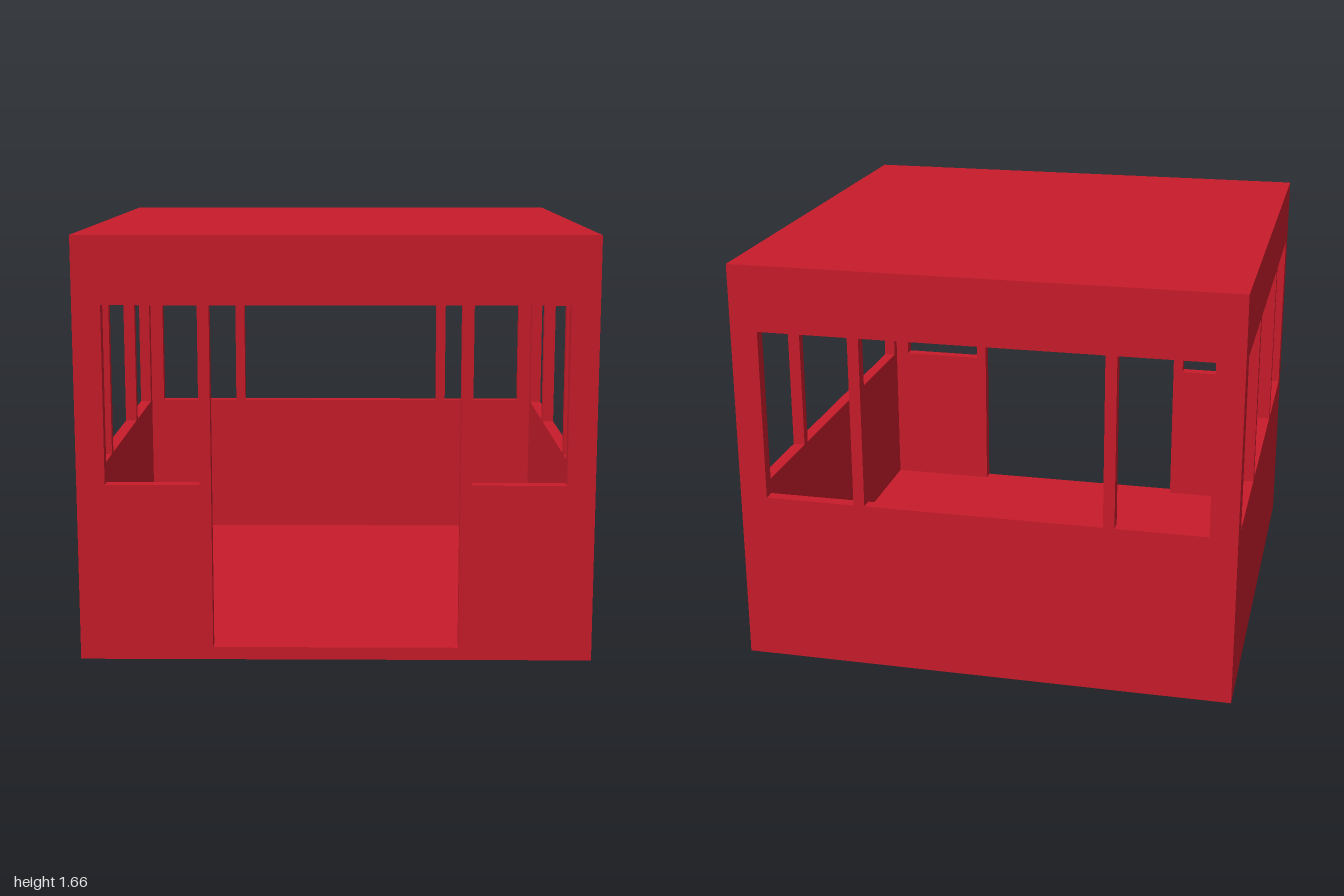
import * as THREE from 'three';

const SIZE = 2, HEIGHT = 1.66, T = 0.05;      // overall size and panel thickness
const SILL = 0.7, HEAD = 1.395;               // window bottom and top
const BASE = T, TOP = HEIGHT - T;             // walls stand between floor and roof slabs

const material = new THREE.MeshStandardMaterial({ color: 0xc81c2a, flatShading: true });

function addMesh(group, name, geometry) {
  const mesh = new THREE.Mesh(geometry, material);
  mesh.name = name;
  group.add(mesh);
  return mesh;
}

// Wall panel in the xy plane, centred on its thickness; door is an optional [from, to] gap
function wallGeometry(halfWidth, windows, door) {
  const outline = [[-halfWidth, BASE]];
  if (door) {
    const [a, b] = door;
    outline.push([a, BASE], [a, HEAD], [b, HEAD], [b, BASE]);
  }
  outline.push([halfWidth, BASE], [halfWidth, TOP], [-halfWidth, TOP]);
  const shape = new THREE.Shape(outline.map(([x, y]) => new THREE.Vector2(x, y)));
  for (const [a, b] of windows) {
    shape.holes.push(new THREE.Path([
      new THREE.Vector2(a, SILL), new THREE.Vector2(a, HEAD),
      new THREE.Vector2(b, HEAD), new THREE.Vector2(b, SILL),
    ]));
  }
  const geometry = new THREE.ExtrudeGeometry(shape, { depth: T, bevelEnabled: false });
  geometry.translate(0, 0, -T / 2);
  return geometry;
}

export function createModel() {
  const cabin = new THREE.Group();
  cabin.name = 'cabin';
  const offset = SIZE / 2 - T / 2;

  // Floor and flat roof
  addMesh(cabin, 'floor', new THREE.BoxGeometry(SIZE, T, SIZE)).position.y = T / 2;
  addMesh(cabin, 'roof', new THREE.BoxGeometry(SIZE, T, SIZE)).position.y = HEIGHT - T / 2;

  // Front wall with an open doorway, back wall with a wide middle window
  const narrow = [[-0.89, -0.525], [0.525, 0.89]];
  const middle = [-0.48, 0.48];
  addMesh(cabin, 'frontWall', wallGeometry(SIZE / 2, narrow, middle)).position.z = offset;
  addMesh(cabin, 'backWall', wallGeometry(SIZE / 2, [...narrow, middle])).position.z = -offset;

  // Side walls between front and back; local x runs along -z
  const sideWindows = [[-0.91, -0.41], [-0.37, 0.365], [0.405, 0.9]];
  for (const [name, side] of [['leftWall', 1], ['rightWall', -1]]) {
    const wall = addMesh(cabin, name, wallGeometry(SIZE / 2 - T, sideWindows));
    wall.rotation.y = Math.PI / 2;
    wall.position.x = side * offset;
  }
  return cabin;
}
